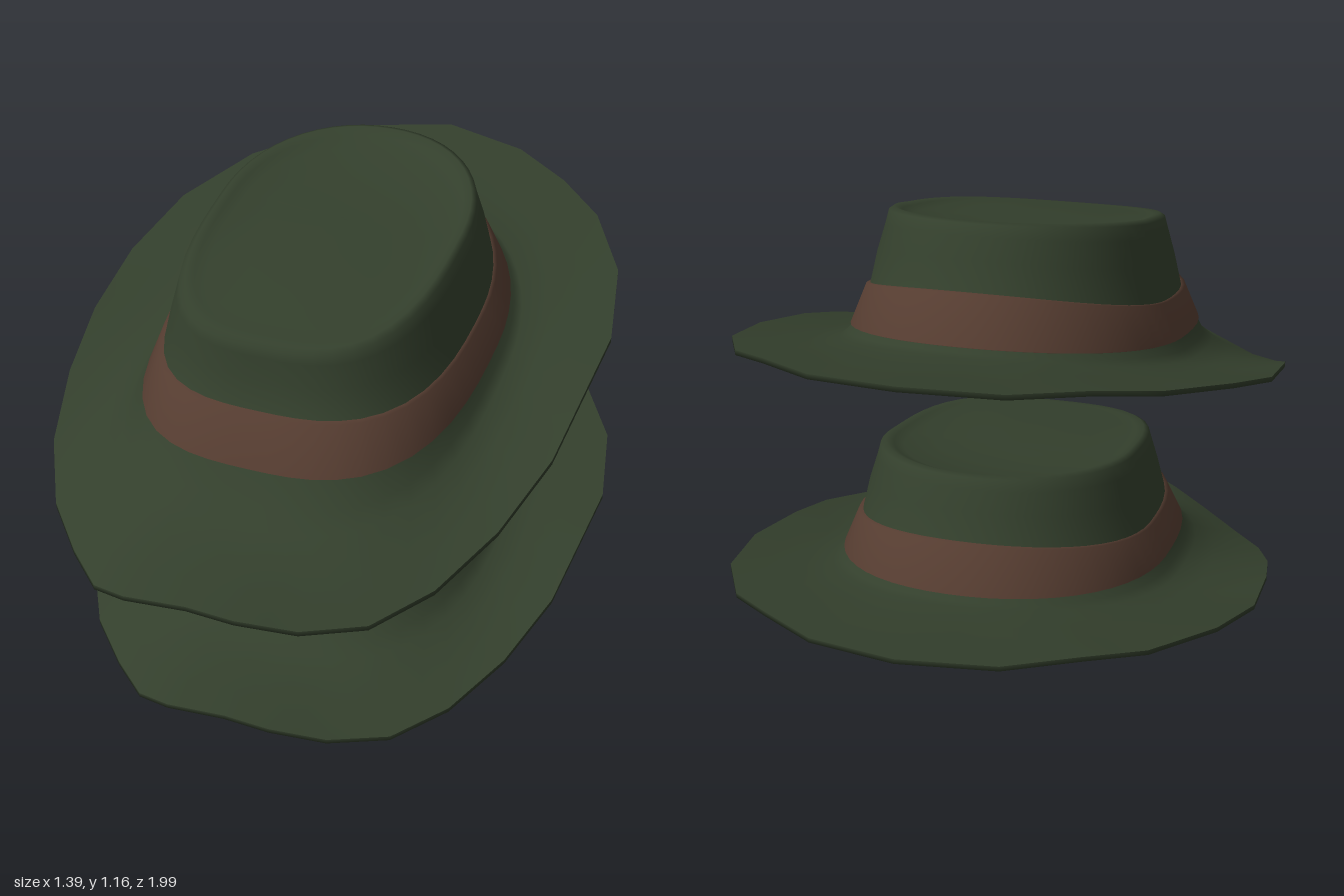
import * as THREE from 'three';

const N = 52;

// Wavy brim outline [x, y, z], from the front round the left side to the back and home
const EDGE = [
  [0, .075, .82], [.12, .07, .82], [.26, .045, .78], [.4, .032, .7], [.51, .042, .56],
  [.6, .075, .37], [.665, .125, .15], [.68, .16, -.03], [.695, .19, -.27], [.645, .22, -.52],
  [.53, .245, -.72], [.4, .266, -.83], [.235, .275, -.94], [0, .285, -.995], [-.235, .275, -.94],
  [-.4, .27, -.83], [-.53, .252, -.72], [-.65, .222, -.5], [-.7, .18, -.27], [-.69, .15, -.03],
  [-.66, .1, .17], [-.6, .045, .37], [-.5, .012, .54], [-.37, .018, .68], [-.26, .03, .78], [-.16, .06, .82],
].map(p => new THREE.Vector3(...p));

// Ring with a round back and a squarer front:
// half width, front z, back z, then heights at front, side and back
function ring([rx, zf, zb, yf, ys, yb]) {
  const cz = -.12;
  return Array.from({ length: N }, (_, i) => {
    const t = i / N * Math.PI * 2, c = Math.cos(t), s = Math.sin(t);
    const n = c > 0 ? 2.9 : 2.1;
    const k = (Math.abs(s) ** n + Math.abs(c) ** n) ** (-1 / n);
    const u = c * k;
    return new THREE.Vector3(
      rx * s * k,
      ys + (yf - yb) / 2 * u + ((yf + yb) / 2 - ys) * u * u,
      cz + u * (c > 0 ? zf - cz : cz - zb));
  });
}

// Brim outline sampled to N points, shifted in height
function edgeRing(dy) {
  return Array.from({ length: N }, (_, i) => {
    const f = i / N * EDGE.length, k = Math.floor(f);
    const p = EDGE[k].clone().lerp(EDGE[(k + 1) % EDGE.length], f - k);
    p.y += dy;
    return p;
  });
}

const blend = (a, b, f, dy) => a.map((p, i) => {
  const q = p.clone().lerp(b[i], f);
  q.y += dy;
  return q;
});

// Skin joining successive rings
function loft(rings) {
  const pos = [], idx = [];
  rings.forEach(r => r.forEach(p => pos.push(p.x, p.y, p.z)));
  for (let r = 0; r < rings.length - 1; r++) {
    for (let i = 0; i < N; i++) {
      const j = (i + 1) % N, a = r * N + i, b = r * N + j;
      idx.push(a, b, a + N, b, b + N, a + N);
    }
  }
  const g = new THREE.BufferGeometry();
  g.setAttribute('position', new THREE.Float32BufferAttribute(pos, 3));
  g.setIndex(idx);
  g.computeVertexNormals();
  return g;
}

export function createModel() {
  const felt = new THREE.MeshStandardMaterial({ name: 'dark green felt', color: 0x333f2c, side: THREE.DoubleSide });
  const ribbon = new THREE.MeshStandardMaterial({ name: 'brown ribbon', color: 0x563d31, side: THREE.DoubleSide });

  // Brim surface
  const edge = edgeRing(0), root = ring([.465, .57, -.66, .098, .165, .262]);
  const brim = loft([edge, blend(edge, root, .35, -.004), blend(edge, root, .7, -.006), root,
    ring([.443, .52, -.645, .125, .185, .27]), ring([.425, .47, -.625, .183, .213, .28])]);

  // Crown wall, rounded rim and shallow dented top
  const crown = loft([
    [.425, .47, -.625, .183, .213, .28],
    [.387, .405, -.555, .285, .3, .385],
    [.368, .385, -.525, .355, .385, .455],
    [.347, .378, -.5, .41, .455, .505],
    [.338, .374, -.486, .432, .49, .532],
    [.324, .36, -.47, .44, .5, .536],
    [.305, .335, -.445, .443, .493, .524],
    [.28, .295, -.41, .445, .482, .507],
    [.19, .18, -.3, .463, .478, .488],
    [.09, .03, -.2, .474, .478, .48],
    [0, -.12, -.12, .479, .479, .479],
  ].map(ring));

  // Hollow inside and underside of the brim
  const under = edgeRing(-.012), inner = ring([.455, .56, -.65, .085, .152, .25]);
  const lining = loft([
    ...[
      [0, -.12, -.12, .464, .464, .464],
      [.18, .17, -.29, .448, .463, .473],
      [.3, .33, -.44, .428, .475, .508],
      [.328, .364, -.476, .41, .465, .505],
      [.375, .39, -.543, .285, .3, .385],
      [.413, .455, -.61, .18, .205, .27],
    ].map(ring), inner, blend(inner, under, .5, -.003), under, edge]);

  // Ribbon band standing just off the crown
  const band = loft([
    [.42, .465, -.62, .18, .208, .274],
    [.433, .478, -.635, .183, .213, .28],
    [.396, .417, -.566, .286, .303, .387],
    [.382, .4, -.55, .288, .304, .388],
  ].map(ring));

  const parts = [['brim', brim, felt], ['crown', crown, felt], ['lining', lining, felt], ['hatBand', band, ribbon]];

  // The upper hat is a slightly larger, forward-tipped copy
  const tipped = new THREE.Matrix4().set(
    1, 0, 0, 0,
    0, 1.08, -.07, .55,
    0, 0, 1.07, .12,
    0, 0, 0, 1);

  const model = new THREE.Group();
  model.name = 'stackedHats';
  [['lowerHat', new THREE.Matrix4()], ['upperHat', tipped]].forEach(([name, matrix]) => {
    const hat = new THREE.Group();
    hat.name = name;
    parts.forEach(([part, geometry, material]) => {
      const mesh = new THREE.Mesh(geometry.clone().applyMatrix4(matrix), material);
      mesh.name = part;
      hat.add(mesh);
    });
    model.add(hat);
  });
  return model;
}
